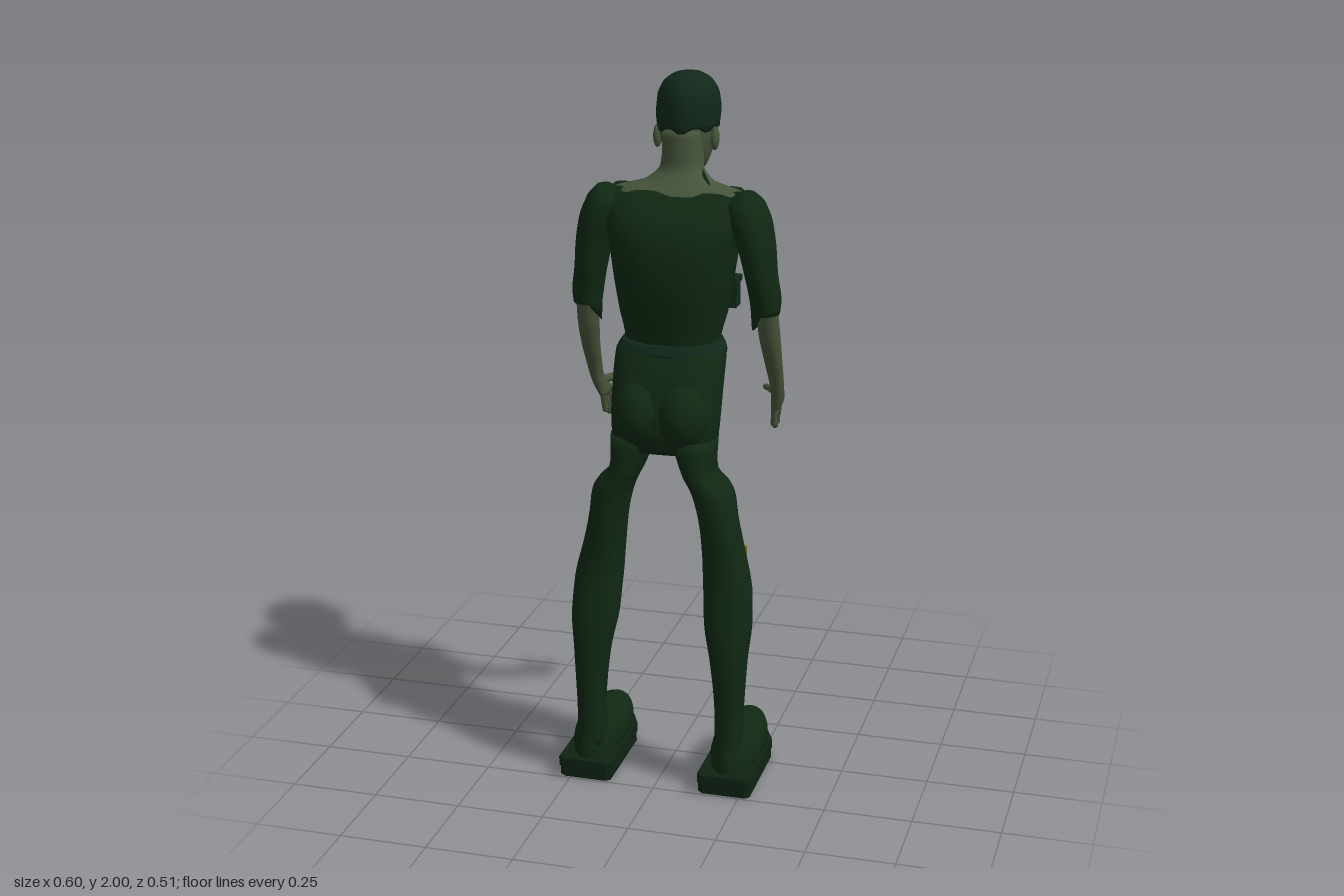
import * as THREE from 'three';

const mat = (name, color) => Object.assign(new THREE.MeshStandardMaterial({ color }), { name });

export function createModel() {
  const model = new THREE.Group();
  const cloth = mat('dark green cloth', 0x11290f);
  cloth.color.set(0x102813);
  cloth.side = THREE.DoubleSide;
  const hairMat = mat('dark hair', 0x10281a);
  const skin = mat('olive skin', 0x46543a);
  const yellow = mat('mustard trim', 0x686410);
  const brown = mat('brown stitching', 0x2f3010);
  const soleMat = mat('dark sole', 0x0e2212);

  const add = (name, geo, material, pos = [0, 0, 0], rot = [0, 0, 0], scale = [1, 1, 1]) => {
    const m = new THREE.Mesh(geo, material);
    m.name = name;
    m.position.set(...pos);
    m.rotation.set(...rot);
    m.scale.set(...scale);
    model.add(m);
    return m;
  };
  const box = (name, size, material, pos, rot) => add(name, new THREE.BoxGeometry(...size), material, pos, rot);

  // Smooth body from horizontal sections [y, xMin, xMax, zMin, zMax], bottom to top
  function loft(name, material, rows, { side = 1, power = 2, tilt = [0, 0], jag = [0, 0], steps = 3 } = {}) {
    const n = 28;
    const mids = new THREE.CatmullRomCurve3(rows.map(r => new THREE.Vector3(side * (r[1] + r[2]) / 2, r[0], (r[3] + r[4]) / 2)));
    const radii = new THREE.CatmullRomCurve3(rows.map(r => new THREE.Vector3((r[2] - r[1]) / 2, 0, (r[4] - r[3]) / 2)));
    const last = (rows.length - 1) * steps;
    const pos = [], idx = [];
    for (let i = 0; i <= last; i++) {
      const c = mids.getPoint(i / last), r = radii.getPoint(i / last);
      for (let j = 0; j < n; j++) {
        const a = j / n * Math.PI * 2, co = Math.cos(a), si = Math.sin(a);
        const dx = r.x * Math.sign(co) * Math.abs(co) ** (2 / power);
        const dz = r.z * Math.sign(si) * Math.abs(si) ** (2 / power);
        let y = c.y;
        if (i === 0) y += tilt[0] * dx * side + tilt[1] * dz + jag[0] * (j % 4 < 2 ? 1 : -1);
        if (i === last) y += jag[1] * (j % 4 < 2 ? 1 : -1);
        pos.push(c.x + dx, y, c.z + dz);
        const a0 = i * n + j, a1 = i * n + (j + 1) % n;
        if (i < last) idx.push(a0, a0 + n, a1, a1, a0 + n, a1 + n);
      }
    }
    // end caps
    const low = pos.length / 3, top = low + 1;
    for (const t of [0, 1]) pos.push(...mids.getPoint(t).toArray());
    for (let j = 0; j < n; j++) {
      const k = (j + 1) % n;
      idx.push(low, j, k, top, last * n + k, last * n + j);
    }
    const g = new THREE.BufferGeometry();
    g.setAttribute('position', new THREE.Float32BufferAttribute(pos, 3));
    g.setIndex(idx);
    g.computeVertexNormals();
    return add(name, g, material);
  }

  // Rounded straight piece between two points
  function limb(name, a, b, r, material) {
    const A = new THREE.Vector3(...a), B = new THREE.Vector3(...b), d = B.clone().sub(A);
    const m = add(name, new THREE.CapsuleGeometry(r, d.length(), 4, 10), material, A.clone().add(B).multiplyScalar(0.5).toArray());
    m.quaternion.setFromUnitVectors(new THREE.Vector3(0, 1, 0), d.normalize());
  }

  // Head, hair and neck; the figure faces -z
  loft('neckAndShoulders', skin, [
    [1.665, -0.195, 0.195, -0.1, 0.06], [1.69, -0.185, 0.185, -0.09, 0.045], [1.712, -0.1, 0.1, -0.095, 0.02],
    [1.745, -0.062, 0.062, -0.11, -0.01], [1.79, -0.058, 0.058, -0.13, -0.015], [1.85, -0.06, 0.06, -0.14, -0.02]]);
  loft('face', skin, [
    [1.712, -0.022, 0.022, -0.19, -0.12], [1.735, -0.045, 0.045, -0.207, -0.08], [1.775, -0.064, 0.064, -0.217, -0.045],
    [1.83, -0.078, 0.078, -0.23, -0.025], [1.89, -0.08, 0.08, -0.235, -0.025]]);
  loft('hair', hairMat, [
    [1.85, -0.084, 0.084, -0.245, -0.012], [1.89, -0.088, 0.088, -0.255, -0.01], [1.94, -0.083, 0.083, -0.245, -0.015],
    [1.975, -0.065, 0.065, -0.215, -0.035], [1.994, -0.038, 0.038, -0.175, -0.07], [2, -0.01, 0.01, -0.14, -0.11]],
  { jag: [0.006, 0] });
  add('nose', new THREE.ConeGeometry(0.016, 0.055, 10), skin, [0, 1.797, -0.226], [-0.25, 0, 0]);
  box('mouth', [0.045, 0.009, 0.008], hairMat, [0, 1.752, -0.211]);
  for (const s of [-1, 1]) {
    add('ear', new THREE.SphereGeometry(1, 12, 10), skin, [s * 0.082, 1.82, -0.105], [0, 0, 0], [0.012, 0.033, 0.02]);
    box('eyePatch', [0.05, 0.03, 0.009], hairMat, [s * 0.036, 1.818, -0.215], [0, s * 0.45, 0]);
    box('sideburn', [0.008, 0.04, 0.025], hairMat, [s * 0.078, 1.838, -0.12]);
  }
  // Throat ornament, collar tip and hanging cord
  add('throatOrnament', new THREE.SphereGeometry(1, 16, 12), yellow, [0, 1.683, -0.118], [0, 0, 0], [0.04, 0.032, 0.028]);
  const tip = new THREE.BufferGeometry();
  tip.setAttribute('position', new THREE.Float32BufferAttribute([0.062, 1.75, -0.045, 0.1, 1.705, -0.002, 0.072, 1.705, -0.005], 3));
  tip.computeVertexNormals();
  add('collarTip', tip, cloth);
  add('cord', new THREE.TubeGeometry(new THREE.CatmullRomCurve3([
    new THREE.Vector3(0, 1.725, -0.232), new THREE.Vector3(0, 1.62, -0.208), new THREE.Vector3(0, 1.53, -0.172)]), 12, 0.003, 6), hairMat);

  // Shirt body with a ragged neckline
  loft('shirtBody', cloth, [
    [1.275, -0.13, 0.13, -0.06, 0.125], [1.31, -0.137, 0.137, -0.075, 0.13], [1.36, -0.15, 0.15, -0.095, 0.14],
    [1.45, -0.165, 0.165, -0.113, 0.155], [1.55, -0.18, 0.18, -0.124, 0.153], [1.62, -0.2, 0.2, -0.124, 0.125],
    [1.665, -0.212, 0.212, -0.108, 0.082], [1.69, -0.205, 0.205, -0.088, 0.05]],
  { power: 2.4, jag: [0, 0.006] });

  // Trousers: hips, seat and belt
  loft('hips', cloth, [
    [0.99, -0.12, 0.12, 0.05, 0.19], [1.03, -0.148, 0.148, 0.015, 0.21], [1.1, -0.152, 0.152, -0.008, 0.212],
    [1.2, -0.154, 0.154, -0.035, 0.178], [1.26, -0.153, 0.153, -0.055, 0.145], [1.29, -0.13, 0.13, -0.06, 0.12]], { power: 2.6 });
  loft('belt', hairMat, [
    [1.255, -0.154, 0.154, -0.066, 0.148], [1.27, -0.15, 0.15, -0.07, 0.142], [1.285, -0.14, 0.14, -0.073, 0.133]], { power: 2.4 });
  for (const x of [-0.06, 0, 0.06]) box('beltFitting', [0.025, 0.02, 0.008], brown, [x, 1.272, -0.07 + Math.abs(x) * 0.12]);

  // Front fastening running from chest to crotch
  const seam = new THREE.CatmullRomCurve3([[1.62, -0.126], [1.5, -0.122], [1.4, -0.106], [1.3, -0.076], [1.2, -0.039], [1.1, -0.012], [1.04, 0.01]]
    .map(([y, z]) => new THREE.Vector3(0, y, z)));
  for (let i = 0; i < 22; i++) box('fastening', [0.009, 0.013, 0.008], brown, seam.getPoint(i / 21).toArray());

  for (const s of [-1, 1]) {
    const X = (x, y, z) => [s * x, y, z];
    add('seat', new THREE.SphereGeometry(1, 20, 16), cloth, X(0.062, 1.095, 0.145), [0, 0, 0], [0.08, 0.1, 0.09]);
    // Chest pocket with rolled flap and stitched strap
    box('pocket', [0.07, 0.085, 0.05], hairMat, X(0.117, 1.39, -0.105));
    const roll = add('pocketFlap', new THREE.CylinderGeometry(0.01, 0.01, 0.075, 10), cloth, X(0.117, 1.425, -0.131));
    roll.rotation.z = Math.PI / 2;
    box('pocketStud', [0.015, 0.015, 0.006], brown, X(0.117, 1.39, -0.131));
    for (let i = 0; i < 7; i++) box('strapStitch', [0.01, 0.013, 0.009], brown, X(0.115, 1.46 + i * 0.026, -0.09 - i * 0.0045));

    // Sleeve, forearm and hand
    loft('sleeve', cloth, [
      [1.345, 0.218, 0.292, -0.045, 0.05], [1.4, 0.212, 0.298, -0.06, 0.06], [1.47, 0.2, 0.287, -0.07, 0.08],
      [1.55, 0.18, 0.281, -0.078, 0.09], [1.62, 0.15, 0.27, -0.08, 0.09], [1.67, 0.145, 0.25, -0.068, 0.075],
      [1.7, 0.185, 0.222, -0.02, 0.035]], { side: s, tilt: [0.7, 0.6], jag: [0.006, 0] });
    loft('forearm', skin, [
      [1.045, 0.242, 0.268, -0.19, -0.115], [1.075, 0.244, 0.28, -0.175, -0.1], [1.11, 0.248, 0.285, -0.14, -0.082],
      [1.15, 0.246, 0.288, -0.117, -0.062], [1.22, 0.24, 0.291, -0.085, -0.02], [1.3, 0.232, 0.292, -0.055, 0.015],
      [1.4, 0.23, 0.288, -0.025, 0.04]], { side: s });
    [[-0.182, -0.23, 1.0], [-0.165, -0.205, 0.985], [-0.145, -0.168, 0.985], [-0.126, -0.137, 1.0]].forEach(([z0, z1, y], i) =>
      limb('finger', X(0.256, 1.06, z0), X(0.242 + i * 0.003, y, z1), 0.009, skin));
    limb('thumb', X(0.262, 1.09, -0.14), X(0.235, 1.088, -0.18), 0.012, skin);
    limb('thumbTip', X(0.235, 1.088, -0.18), X(0.21, 1.085, -0.21), 0.009, skin);

    // Trouser leg
    loft('leg', cloth, [
      [0.08, 0.16, 0.242, 0.115, 0.225], [0.2, 0.165, 0.243, 0.118, 0.226], [0.3, 0.16, 0.247, 0.11, 0.23],
      [0.4, 0.147, 0.253, 0.1, 0.232], [0.5, 0.127, 0.262, 0.085, 0.222], [0.6, 0.12, 0.256, 0.07, 0.203],
      [0.7, 0.115, 0.232, 0.056, 0.2], [0.8, 0.106, 0.21, 0.048, 0.21], [0.87, 0.088, 0.2, 0.048, 0.212],
      [0.9, 0.075, 0.182, 0.048, 0.212], [0.93, 0.06, 0.152, 0.048, 0.212], [1.03, 0.02, 0.15, 0.03, 0.205]], { side: s, power: 2.3 });
    // Knee pad with a dark centre
    box('kneePad', [0.075, 0.09, 0.03], yellow, X(0.185, 0.648, 0.067));
    box('kneePadCentre', [0.03, 0.03, 0.008], brown, X(0.185, 0.648, 0.05));

    // Shoe on a plank-like sole
    loft('shoe', cloth, [
      [0.045, 0.14, 0.272, -0.105, 0.235], [0.085, 0.133, 0.279, -0.13, 0.235], [0.115, 0.14, 0.272, -0.118, 0.23],
      [0.14, 0.158, 0.255, -0.075, 0.222], [0.152, 0.18, 0.235, -0.01, 0.2]], { side: s });
    const h = 0.075, c = 0.012, outline = new THREE.Shape([[-h, -0.24], [-h + c, -0.25], [h - c, -0.25], [h, -0.24],
      [h, 0.03], [0.05, 0.085], [-0.05, 0.085], [-h, 0.03]].map(p => new THREE.Vector2(...p)));
    for (const [y, k] of [[0.003, 0.97], [0.034, 1]])
      add('sole', new THREE.ExtrudeGeometry(outline, { depth: 0.026, bevelEnabled: true, bevelThickness: 0.003, bevelSize: 0.003, bevelSegments: 1 }),
        soleMat, X(0.206, y, 0), [-Math.PI / 2, 0, 0], [k, k, 1]);
  }
  return model;
}
